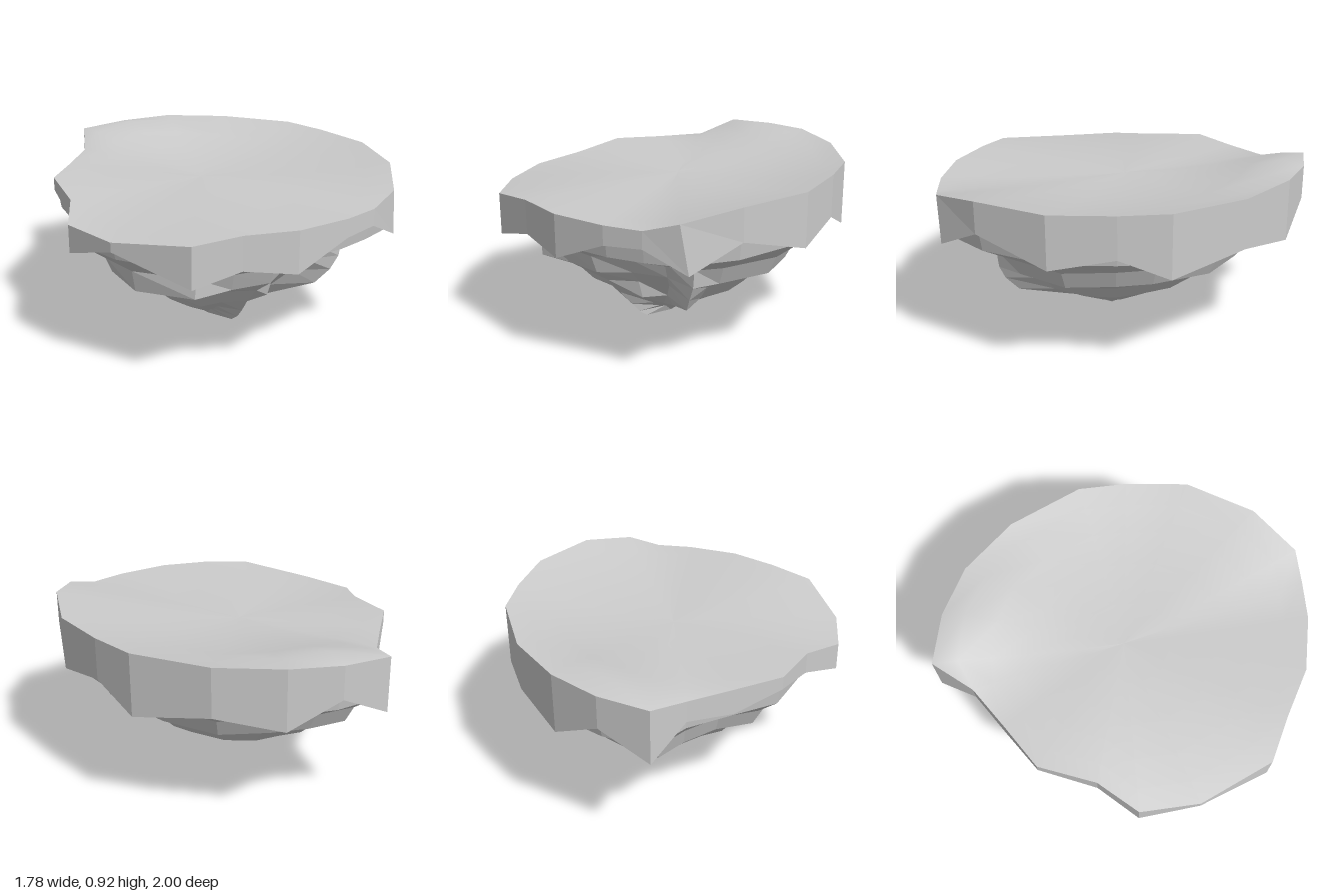
import * as THREE from 'three';

// Rim outline, clockwise from the back: x, z, top height, skirt bottom height
const RIM = [
  [0, -1, 0.875, 0.575], [0.26, -0.925, 0.89, 0.71], [0.5, -0.78, 0.905, 0.575], [0.73, -0.51, 0.905, 0.64],
  [0.89, -0.12, 0.91, 0.57], [0.885, 0.14, 0.91, 0.685], [0.835, 0.47, 0.91, 0.625], [0.62, 0.8, 0.91, 0.74],
  [0.38, 0.99, 0.86, 0.61], [0.2, 1, 0.81, 0.72], [0, 0.99, 0.81, 0.71], [-0.285, 0.92, 0.81, 0.585],
  [-0.52, 0.775, 0.81, 0.63], [-0.74, 0.655, 0.785, 0.565], [-0.89, 0.265, 0.74, 0.69], [-0.89, -0.05, 0.745, 0.595],
  [-0.72, -0.24, 0.785, 0.67], [-0.6, -0.53, 0.81, 0.74], [-0.37, -0.67, 0.81, 0.67], [-0.15, -0.81, 0.815, 0.7],
];

// Rock layers from top to bottom: height, spread towards the rim
const LAYERS = [
  [0.78, 0.985], [0.64, 0.96], [0.53, 0.79], [0.43, 0.74], [0.35, 0.57],
  [0.25, 0.47], [0.16, 0.3], [0.1, 0.19], [0.06, 0.09], [0, 0],
];

// Spurs and hollows in the rock: layer, rim index, x, y, z
const SPURS = [
  [3, 14, -0.7, 0.41, 0.22], [3, 13, -0.58, 0.42, 0.52], [5, 14, -0.38, 0.26, 0.16], [5, 15, -0.38, 0.26, 0.02],
  [2, 8, 0.35, 0.53, 0.71], [3, 8, 0.34, 0.43, 0.7], [4, 8, 0.31, 0.35, 0.67], [5, 8, 0.27, 0.26, 0.6],
  [2, 9, 0.17, 0.53, 0.65], [3, 9, 0.17, 0.43, 0.61], [4, 9, 0.15, 0.35, 0.53], [5, 9, 0.1, 0.25, 0.43],
  [2, 10, -0.02, 0.53, 0.67], [3, 10, -0.02, 0.43, 0.61], [4, 10, -0.02, 0.35, 0.53],
  [2, 11, -0.2, 0.53, 0.71], [3, 11, -0.19, 0.43, 0.67],
  [6, 11, -0.11, 0.16, 0.41], [7, 11, -0.09, 0.1, 0.36], [8, 11, -0.07, 0.055, 0.3],
];
const TIP = { x: -0.02, z: 0.07 };

// Joins closed rings of points; rings run from top to bottom, or from inside to outside
function loft(rings, flat) {
  const n = RIM.length;
  const points = rings.flat();
  const index = [];
  const apart = (p, q) => points[p].distanceTo(points[q]) > 1e-5;
  for (let r = 0; r < rings.length - 1; r++) {
    for (let i = 0; i < n; i++) {
      const a = r * n + i, b = r * n + (i + 1) % n, c = a + n, d = b + n;
      if (apart(a, b)) index.push(a, b, c);
      if (apart(c, d)) index.push(b, d, c);
    }
  }
  let geo = new THREE.BufferGeometry().setFromPoints(points);
  geo.setIndex(index);
  if (flat) geo = geo.toNonIndexed();
  geo.computeVertexNormals();
  return geo;
}

function addPart(group, name, geometry, flatShading, side = THREE.FrontSide) {
  const mesh = new THREE.Mesh(geometry, new THREE.MeshStandardMaterial({ color: 0xcccccc, flatShading, side }));
  mesh.name = name;
  group.add(mesh);
}

export function createModel() {
  const group = new THREE.Group();
  group.name = 'floatingIsland';

  // Gently rolling ground with a low rise near the back
  const ground = [0, 0.25, 0.5, 0.7, 0.87, 1].map((s) => RIM.map(([x, z, top]) => {
    const px = x * s, pz = z * s;
    const hill = 0.05 * Math.exp(-((px - 0.25) ** 2 + (pz + 0.79) ** 2) / 0.08);
    const y = THREE.MathUtils.lerp(0.8, top, s * s) + (s < 1 ? hill : 0);
    return new THREE.Vector3(px, y, pz);
  }));
  addPart(group, 'ground', loft(ground, false), false);

  // Faceted turf edge hanging down in uneven points
  const top = RIM.map(([x, z, y]) => new THREE.Vector3(x, y, z));
  const bottom = RIM.map(([x, z, , y], i) => new THREE.Vector3(i === 8 ? 0.42 : x, y, i === 8 ? 0.98 : z));
  addPart(group, 'turfEdge', loft([top, bottom], true), true, THREE.DoubleSide);

  // Stepped rock narrowing to a tip; its top ring stays tucked under the ground
  const rock = LAYERS.map(([y, s], k) => RIM.map(([x, z, rimTop], i) => {
    const spur = SPURS.find((p) => p[0] === k && p[1] === i);
    if (spur) return new THREE.Vector3(...spur.slice(2));
    const ridge = k > 1 ? 1 + 0.03 * Math.sin(i * 2.3 + Math.floor(k / 2)) : 1;
    return new THREE.Vector3(
      THREE.MathUtils.lerp(TIP.x, x, s * ridge),
      Math.min(y, rimTop - 0.02),
      THREE.MathUtils.lerp(TIP.z, z, s * ridge));
  }));
  addPart(group, 'rock', loft(rock, true), true);

  return group;
}
